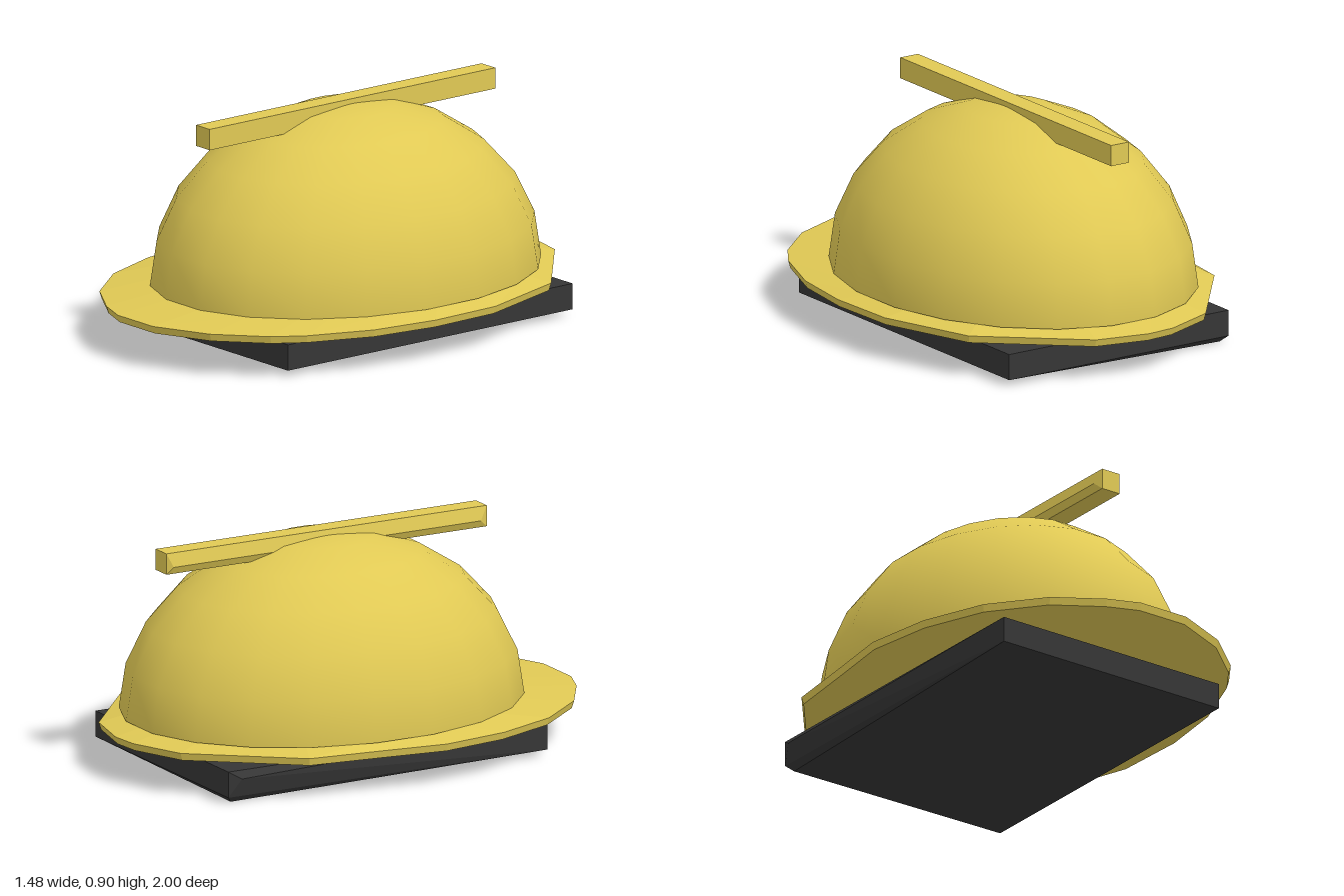
import * as THREE from 'three';
import { ConvexGeometry } from 'three/addons/geometries/ConvexGeometry.js';

const yellow = new THREE.MeshStandardMaterial({ color: 0xe0c954 });
yellow.name = 'safety yellow';
const black = new THREE.MeshStandardMaterial({ color: 0x363636 });
black.name = 'charcoal';

function add(group, name, geometry, material) {
  const mesh = new THREE.Mesh(geometry, material);
  mesh.name = name;
  group.add(mesh);
  return mesh;
}

// Half ellipsoid, smooth shaded, 20 sides
function domeGeometry() {
  const g = new THREE.SphereGeometry(1, 20, 6, Math.PI / 20, Math.PI * 2, 0, Math.PI / 2);
  g.scale(0.67, 0.69, 0.835);
  g.translate(0, 0.2, -0.067);
  return g;
}

// Brim outline as [x, z], running from the front round the left side to the back and on
const OUTLINE = [
  [0.11, 1], [0.34, 0.9], [0.52, 0.74], [0.6, 0.62], [0.7, 0.36], [0.74, 0.08],
  [0.73, -0.23], [0.6, -0.62], [0.22, -0.95], [0, -1], [-0.12, -0.99], [-0.34, -0.9],
  [-0.66, -0.5], [-0.7, -0.2], [-0.74, 0.08], [-0.7, 0.36], [-0.6, 0.62],
  [-0.43, 0.83], [-0.24, 0.95], [-0.11, 1],
];

// Loft: underside centre, lower rim, upper rim, then up to the foot of the dome
function brimGeometry() {
  const loops = [
    OUTLINE.map(() => [0, 0.147, 0]),
    OUTLINE.map(([x, z]) => [x * 0.99, 0.147, z * 0.99]),
    OUTLINE.map(([x, z]) => [x, 0.177, z]),
    OUTLINE.map(([x, z]) => {
      const a = Math.atan2(x / 0.74, z);
      return [0.65 * Math.sin(a), 0.202, -0.067 + 0.81 * Math.cos(a)];
    }),
  ];
  const n = OUTLINE.length;
  const pos = [];
  for (let r = 0; r < loops.length - 1; r++) {
    for (let i = 0; i < n; i++) {
      const j = (i + 1) % n;
      const a = loops[r][i], b = loops[r][j], c = loops[r + 1][j], d = loops[r + 1][i];
      pos.push(...a, ...c, ...d);
      if (r > 0) pos.push(...a, ...b, ...c);
    }
  }
  const g = new THREE.BufferGeometry();
  g.setAttribute('position', new THREE.Float32BufferAttribute(pos, 3));
  g.computeVertexNormals();
  return g;
}

const hull = (points) => new ConvexGeometry(points.map((p) => new THREE.Vector3(...p)));

export function createModel() {
  const model = new THREE.Group();
  model.name = 'hardHat';

  add(model, 'dome', domeGeometry(), yellow);
  add(model, 'brim', brimGeometry(), yellow);

  // Straight ridge bar with a chamfered lower left edge
  add(model, 'ridge', hull([
    [-0.045, 0.905, 0.655], [0.04, 0.905, 0.655], [0.04, 0.82, 0.655], [-0.045, 0.82, 0.655],
    [-0.045, 0.905, -0.795], [0.04, 0.905, -0.795], [0.04, 0.82, -0.795], [-0.045, 0.82, -0.795],
    [-0.06, 0.85, -0.77], [-0.06, 0.85, 0.62],
  ]), yellow);

  // Base slab with a slightly bulged back left corner
  add(model, 'baseSlab', hull([
    [-0.525, 0.13, 0.655], [0.525, 0.13, 0.655], [0.525, 0.025, 0.655], [-0.525, 0.025, 0.655],
    [-0.525, 0.13, -0.79], [0.525, 0.13, -0.79], [0.525, 0.025, -0.79], [-0.525, 0.025, -0.79],
    [-0.5, 0, -0.765], [-0.547, 0.1, -0.74],
  ]), black);

  return model;
}
